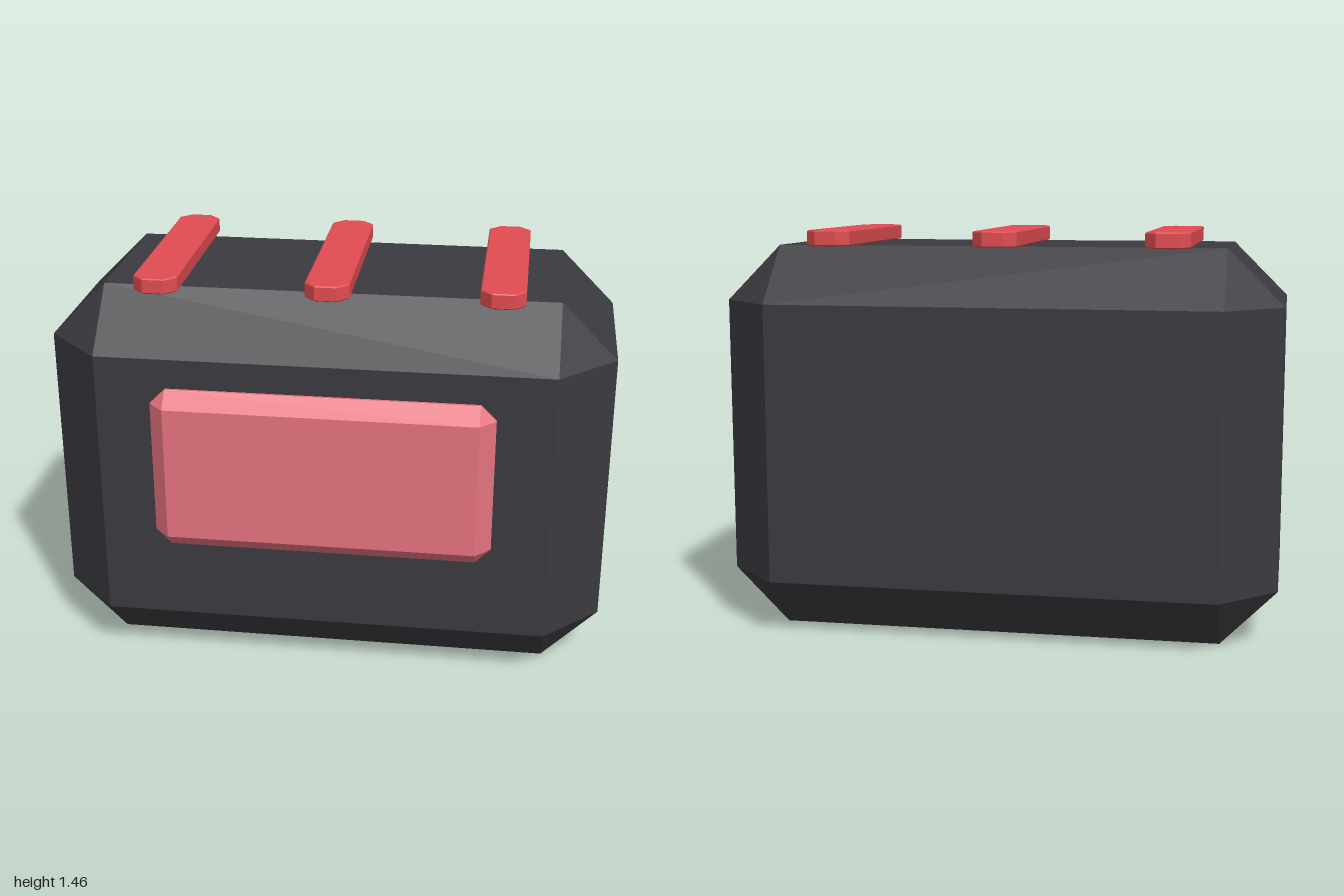
import * as THREE from 'three';
import { ConvexGeometry } from 'three/addons/geometries/ConvexGeometry.js';

const charcoal = new THREE.MeshStandardMaterial({ color: 0x3a3a40 });
charcoal.name = 'charcoal';
const red = new THREE.MeshStandardMaterial({ color: 0xe04c50 });
red.name = 'red';
const pink = new THREE.MeshStandardMaterial({ color: 0xe5737f });
pink.name = 'pink';

// Box with every edge cut at 45 degrees and triangular corners
function chamferedBox(w, h, d, c) {
  const points = [];
  const [x, y, z] = [w / 2, h / 2, d / 2];
  for (const i of [-1, 1]) for (const j of [-1, 1]) for (const k of [-1, 1]) {
    points.push(
      new THREE.Vector3(i * x, j * (y - c), k * (z - c)),
      new THREE.Vector3(i * (x - c), j * y, k * (z - c)),
      new THREE.Vector3(i * (x - c), j * (y - c), k * z)
    );
  }
  return new ConvexGeometry(points);
}

// Flat bar lying in the xz plane with cut corners, standing on y = 0
function cutCornerBar(w, h, d, c) {
  const bevel = 0.004;
  const [x, z] = [w / 2 - bevel, d / 2 - bevel];
  const outline = new THREE.Shape([
    [x, -z + c], [x, z - c], [x - c, z], [-x + c, z],
    [-x, z - c], [-x, -z + c], [-x + c, -z], [x - c, -z],
  ].map(([a, b]) => new THREE.Vector2(a, b)));
  const geometry = new THREE.ExtrudeGeometry(outline, {
    depth: h - 2 * bevel, bevelEnabled: true, bevelSegments: 1,
    bevelSize: bevel, bevelThickness: bevel,
  });
  return geometry.rotateX(-Math.PI / 2).translate(0, bevel, 0);
}

export function createModel() {
  const model = new THREE.Group();
  model.name = 'pack';
  const add = (name, geometry, material, x, y, z) => {
    const mesh = new THREE.Mesh(geometry, material);
    mesh.name = name;
    mesh.position.set(x, y, z);
    model.add(mesh);
  };

  // Main body and the raised panel set into its front
  add('body', chamferedBox(2, 1.4, 1, 0.2), charcoal, 0, 0.7, -0.04);
  add('frontPanel', chamferedBox(1.2, 0.6, 0.12, 0.055), pink, 0, 0.8, 0.48);

  // Three bars across the top
  const bar = cutCornerBar(0.155, 0.055, 0.8, 0.037);
  ['right', 'middle', 'left'].forEach((side, i) => {
    add(side + 'TopBar', bar, red, (i - 1) * 0.6, 1.4, -0.04);
  });
  return model;
}
